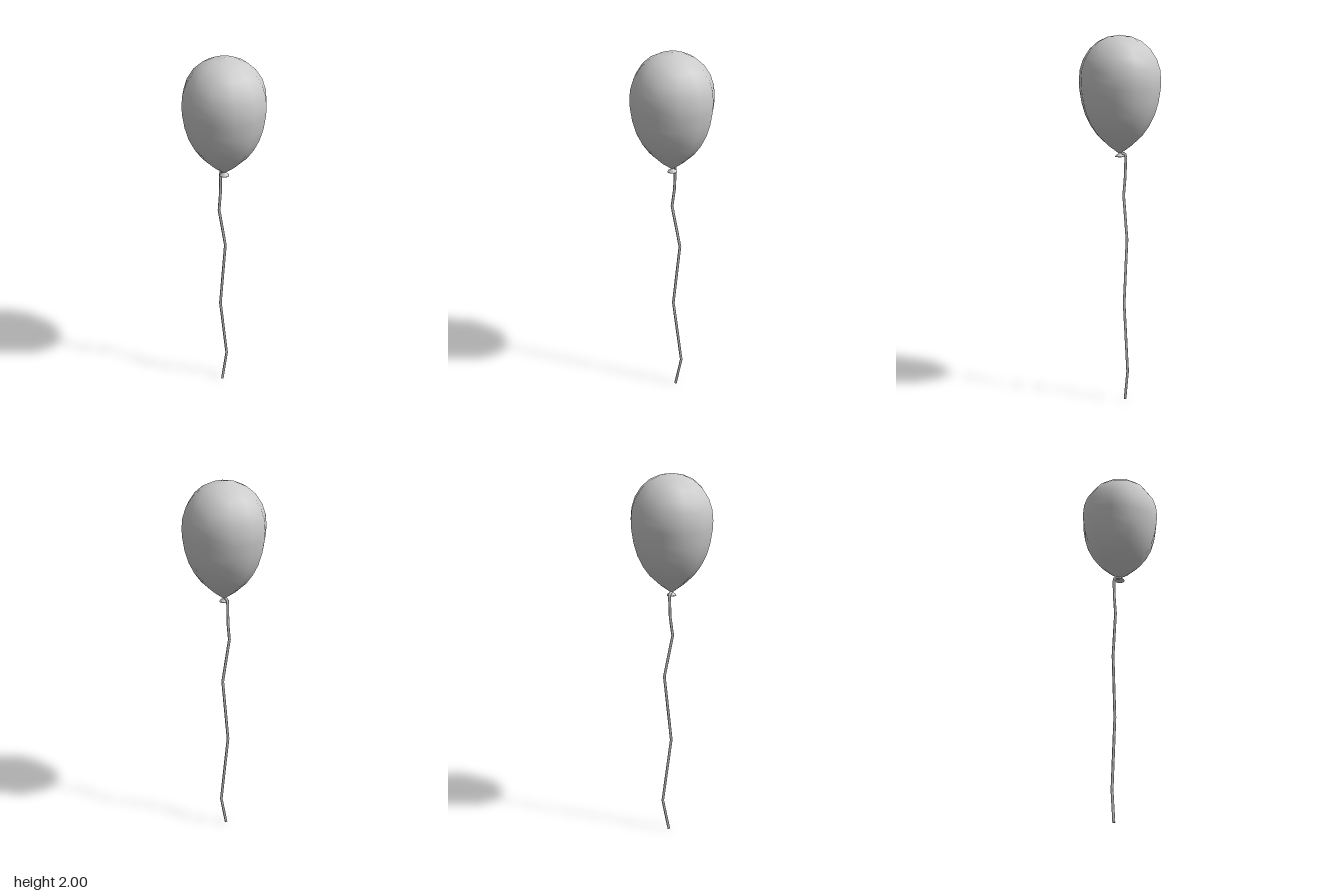
import * as THREE from 'three';

const material = new THREE.MeshStandardMaterial({ color: 0xcccccc, side: THREE.DoubleSide });

// Straight segments between points, with mitred corners when swept by a tube
class Polyline extends THREE.Curve {
  constructor(points) {
    super();
    this.points = points;
  }
  getPoint(t, target = new THREE.Vector3()) {
    const n = this.points.length - 1;
    const f = THREE.MathUtils.clamp(t, 0, 1) * n;
    const i = Math.min(Math.floor(f + 1e-9), n - 1);
    return target.lerpVectors(this.points[i], this.points[i + 1], f - i);
  }
  getPointAt(t, target) {
    return this.getPoint(t, target);
  }
  getTangentAt(t, target = new THREE.Vector3()) {
    const d = 1e-3;
    const p = this.getPoint(t);
    const before = p.clone().sub(this.getPoint(t - d)).normalize();
    const after = this.getPoint(t + d).sub(p).normalize();
    return target.addVectors(before, after).normalize();
  }
}

function addMesh(group, name, geometry) {
  const mesh = new THREE.Mesh(geometry, material);
  mesh.name = name;
  group.add(mesh);
  return mesh;
}

function lathe(profile, sides) {
  return new THREE.LatheGeometry(profile.map(([r, y]) => new THREE.Vector2(r, y)), sides);
}

export function createModel() {
  const group = new THREE.Group();
  group.name = 'balloon';

  // Teardrop body, twelve sides
  addMesh(group, 'balloonBody', lathe([
    [0.008, 1.382], [0.063, 1.422], [0.12, 1.475], [0.156, 1.525], [0.186, 1.585],
    [0.205, 1.65], [0.216, 1.72], [0.218, 1.765], [0.213, 1.82], [0.195, 1.875],
    [0.16, 1.928], [0.115, 1.967], [0.063, 1.99], [0, 2],
  ], 12));

  // Flared, tied-off lip under the body
  addMesh(group, 'knot', lathe([
    [0, 1.368], [0.018, 1.361], [0.026, 1.362], [0.024, 1.368], [0.008, 1.379], [0.008, 1.386],
  ], 12));

  // Kinked string, looped from the knot and hanging behind it
  const path = [
    [0, 1.381, 0], [0.002, 1.38, -0.02], [0.004, 1.374, -0.03], [0.004, 1.355, -0.033],
    [0.001, 1.25, -0.031], [-0.012, 1.15, -0.028], [0.034, 0.915, -0.028],
    [-0.004, 0.55, -0.028], [0.045, 0.175, -0.028], [0.01, 0.002, -0.028],
  ].map((p) => new THREE.Vector3(...p));
  addMesh(group, 'string', new THREE.TubeGeometry(new Polyline(path), path.length - 1, 0.0075, 6));

  // Cap closing the lower end of the string
  const cap = addMesh(group, 'stringEnd', new THREE.CircleGeometry(0.0075, 6));
  cap.position.copy(path.at(-1));
  cap.lookAt(path.at(-1).clone().multiplyScalar(2).sub(path.at(-2)));

  return group;
}
